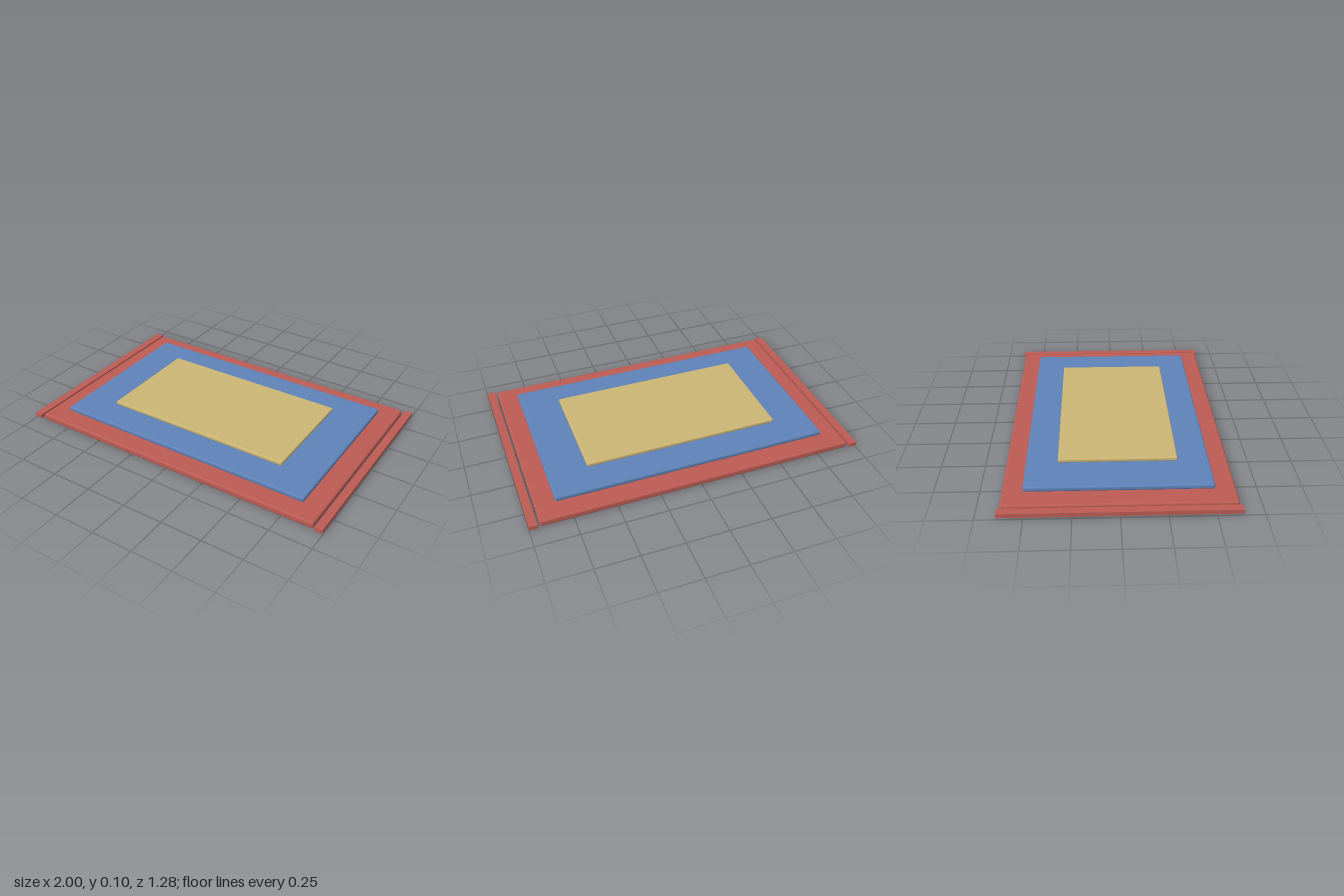
import * as THREE from 'three';
import { RoundedBoxGeometry } from 'three/addons/geometries/RoundedBoxGeometry.js';

const RED = 0xbc5c54, BLUE = 0x5f82b8, SAND = 0xccb574;

function part(name, geometry, color, x, y) {
  const mesh = new THREE.Mesh(geometry, new THREE.MeshStandardMaterial({ color }));
  mesh.name = name;
  mesh.position.set(x, y, 0);
  return mesh;
}

export function createModel() {
  const rug = new THREE.Group();
  rug.name = 'rug';

  // Stacked soft-edged layers: name, width, depth, bottom, top, edge radius, color
  const layers = [
    ['rugBase', 1.88, 1.25, 0, 0.041, 0.012, RED],
    ['middlePanel', 1.65, 1.024, 0.042, 0.073, 0.011, BLUE],
    ['centrePanel', 1.184, 0.666, 0.073, 0.097, 0.008, SAND],
  ];
  for (const [name, width, depth, bottom, top, radius, color] of layers) {
    const geometry = new RoundedBoxGeometry(width, top - bottom, depth, 2, radius);
    rug.add(part(name, geometry, color, 0, (bottom + top) / 2));
  }

  // Sharp-edged trim strips, set slightly apart from each short end
  for (const side of [-1, 1]) {
    const name = side > 0 ? 'leftEndStrip' : 'rightEndStrip';
    rug.add(part(name, new THREE.BoxGeometry(0.047, 0.024, 1.276), RED, side * 0.9765, 0.022));
  }
  return rug;
}
